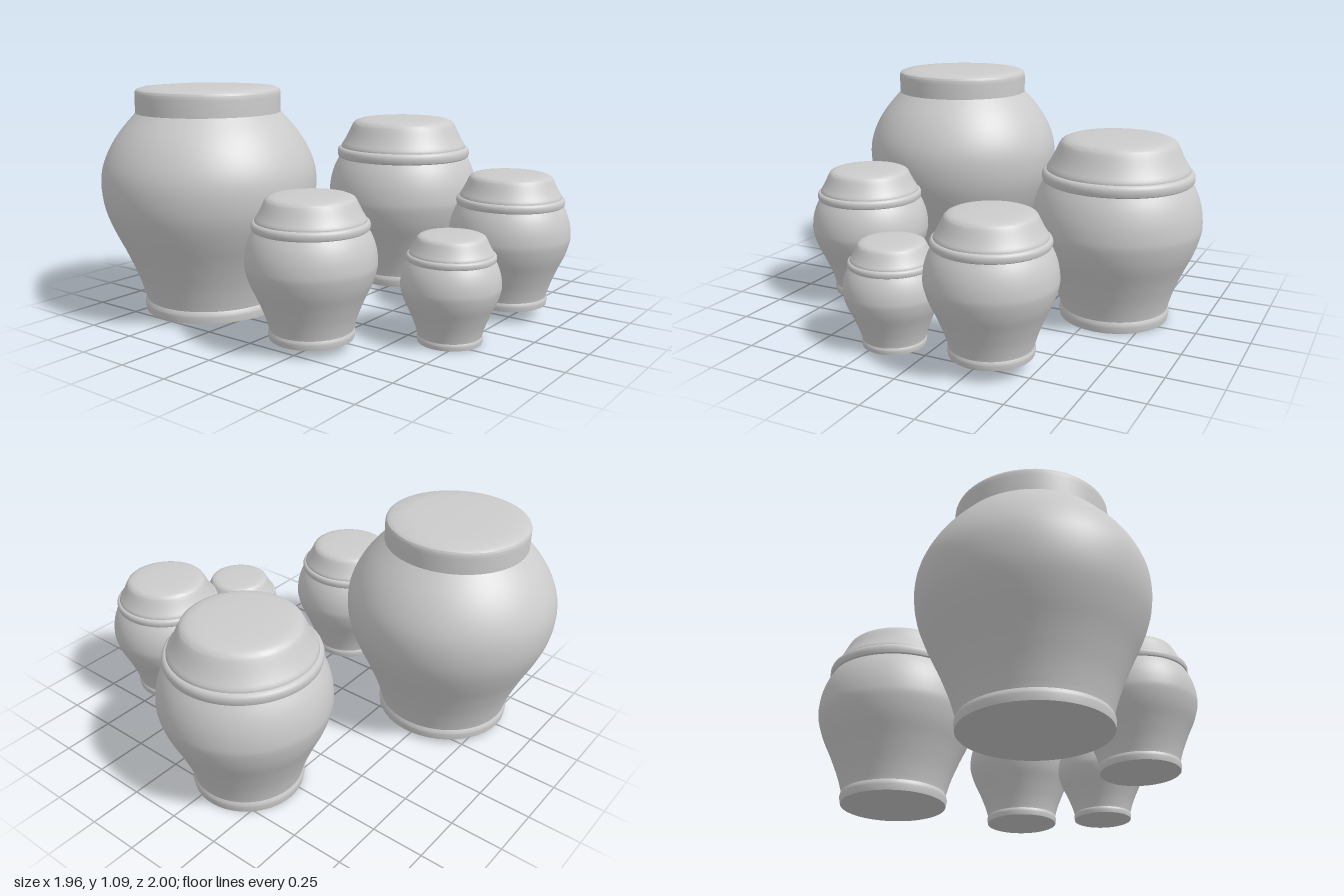
import * as THREE from 'three';
import { toCreasedNormals } from 'three/addons/utils/BufferGeometryUtils.js';

const material = new THREE.MeshStandardMaterial({ color: 0xcccccc });
const SIDES = 64;
const v2 = ([r, y]) => new THREE.Vector2(r, y);

// Turn a bottom-to-top profile of [radius, height] pairs
function lathe(name, points) {
  const geometry = toCreasedNormals(new THREE.LatheGeometry(points, SIDES), 0.6);
  const mesh = new THREE.Mesh(geometry, material);
  mesh.name = name;
  return mesh;
}

// Flat base and foot, then a smooth curve for the belly
function makeBody(foot, belly) {
  const curve = new THREE.SplineCurve(belly.map(v2)).getPoints(32);
  return lathe('body', [...foot.map(v2), ...curve]);
}

// Straight or sloping wall with a rounded shoulder and a nearly flat top
function makeLid(wall, shoulder, top) {
  const curve = new THREE.SplineCurve(shoulder.map(v2)).getPoints(10);
  return lathe('lid', [...wall.map(v2), ...curve, ...top.map(v2)]);
}

// Jar with a rolled rim and a sloping lid
function makeRimmedJar(name) {
  const jar = new THREE.Group();
  jar.name = name;
  jar.add(makeBody(
    [[0, 0], [0.258, 0], [0.264, 0.03], [0.263, 0.042]],
    [[0.257, 0.055], [0.263, 0.08], [0.285, 0.15], [0.326, 0.25], [0.37, 0.345],
      [0.396, 0.43], [0.4, 0.48], [0.392, 0.55], [0.37, 0.62], [0.338, 0.68]]
  ));
  // Rolled rim
  const rim = [[0.325, 0.665], [0.342, 0.665], [0.352, 0.672], [0.356, 0.685],
    [0.356, 0.702], [0.351, 0.715], [0.341, 0.722], [0.325, 0.723]];
  jar.add(lathe('rim', rim.map(v2)));
  jar.add(makeLid(
    [[0.33, 0.7], [0.336, 0.722]],
    [[0.332, 0.735], [0.315, 0.762], [0.295, 0.8], [0.276, 0.84], [0.262, 0.858], [0.235, 0.869]],
    [[0.2, 0.874], [0.1, 0.877], [0, 0.878]]
  ));
  return jar;
}

// Large jar with a straight-sided cap
function makeLargeJar() {
  const jar = new THREE.Group();
  jar.name = 'largeJar';
  jar.add(makeBody(
    [[0, 0], [0.325, 0], [0.329, 0.03], [0.328, 0.04]],
    [[0.32, 0.055], [0.328, 0.085], [0.355, 0.17], [0.405, 0.29], [0.455, 0.395], [0.494, 0.5],
      [0.508, 0.6], [0.5, 0.69], [0.465, 0.78], [0.41, 0.865], [0.335, 0.95]]
  ));
  jar.add(makeLid(
    [[0.3, 0.93], [0.34, 0.93], [0.341, 1.02]],
    [[0.34, 1.04], [0.334, 1.052], [0.315, 1.06]],
    [[0.24, 1.066], [0.12, 1.069], [0, 1.07]]
  ));
  return jar;
}

export function createModel() {
  const model = new THREE.Group();
  model.name = 'jarGroup';

  const large = makeLargeJar();
  large.position.set(-0.472, 0.025, -0.492);
  model.add(large);

  // Name, position and scale of the similar jars
  const jars = [
    ['mediumJar', [0.576, 0.003, -0.073], 1],
    ['smallJarRight', [-0.61, 0.046, 0.235], 0.715],
    ['smallJarLeft', [0.304, 0.064, 0.71], 0.713],
    ['tinyJar', [-0.197, 0.002, 0.684], 0.553],
  ];
  for (const [name, position, scale] of jars) {
    const jar = makeRimmedJar(name);
    jar.position.set(...position);
    jar.scale.setScalar(scale);
    model.add(jar);
  }
  return model;
}
